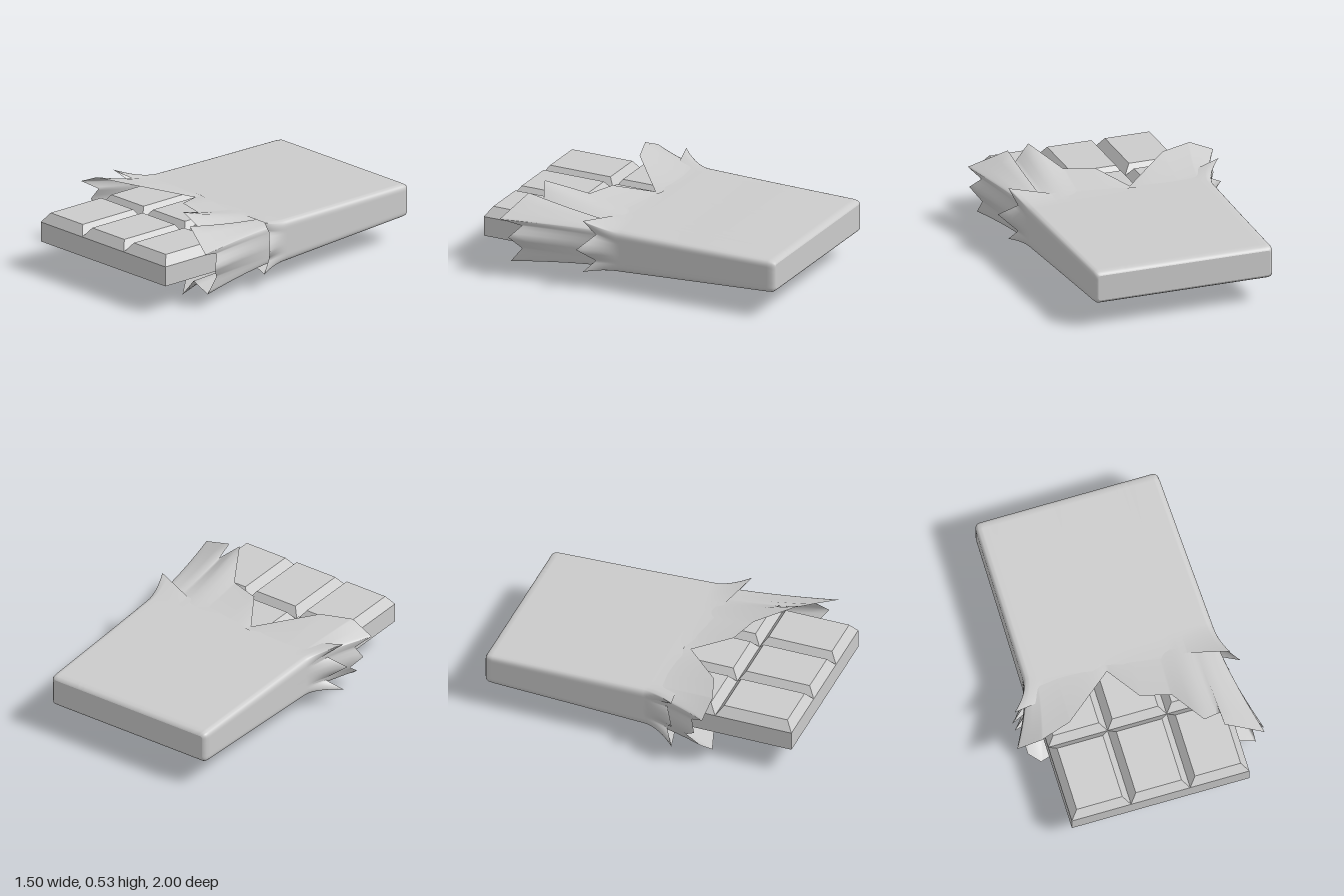
import * as THREE from 'three';

const solid = new THREE.MeshStandardMaterial({ color: 0xcccccc });
const sheet = new THREE.MeshStandardMaterial({ color: 0xcccccc, side: THREE.DoubleSide });

// Torn rims: [s, x, y, z]; s runs round the section, 0-1 top, 1-2 +x side, 2-3 bottom, 3-4 -x side
const foilRim = [
  [0, -0.75, 0.395, 0.49], [0.06, -0.6, 0.46, 0.5], [0.16, -0.4, 0.455, 0.435],
  [0.42, -0.08, 0.385, 0.16], [0.55, 0.06, 0.435, 0.385], [0.71, 0.25, 0.44, 0.44],
  [0.8, 0.385, 0.53, 0.68], [0.89, 0.5, 0.43, 0.63], [0.9, 0.5, 0.48, 0.73],
  [1, 0.73, 0.375, 0.81], [1.2, 0.69, 0.34, 0.68], [1.5, 0.745, 0.27, 0.745],
  [1.85, 0.685, 0.19, 0.68], [2, 0.69, 0.095, 0.755], [2.1, 0.5, 0.12, 0.7],
  [2.2, 0.385, 0, 0.685], [2.4, 0.13, 0.07, 0.4], [2.57, -0.08, 0.15, 0.18],
  [2.84, -0.4, 0.08, 0.435], [2.94, -0.6, 0.075, 0.5], [3, -0.67, 0.14, 0.45],
  [3.3, -0.68, 0.21, 0.36], [3.5, -0.73, 0.27, 0.43], [3.75, -0.69, 0.34, 0.4],
];
const wrapperRim = [
  [0, -0.7, 0.43, 0.27], [0.08, -0.53, 0.395, 0.235], [0.42, -0.09, 0.39, 0.115],
  [0.75, 0.32, 0.4, 0.235], [0.79, 0.37, 0.4, 0.19], [0.83, 0.42, 0.4, 0.19],
  [1, 0.67, 0.44, 0.27], [1.25, 0.635, 0.35, 0.2], [1.5, 0.735, 0.27, 0.285],
  [1.75, 0.635, 0.18, 0.2], [2, 0.67, 0.105, 0.27], [2.17, 0.42, 0.13, 0.19],
  [2.21, 0.37, 0.13, 0.19], [2.25, 0.32, 0.13, 0.235], [2.58, -0.09, 0.12, 0.115],
  [2.92, -0.53, 0.125, 0.235], [3, -0.7, 0.105, 0.27], [3.25, -0.6, 0.18, 0.2],
  [3.5, -0.72, 0.27, 0.28], [3.75, -0.6, 0.35, 0.2],
];

// Section positions: even steps, extra ones at the corners, and every rim point
function samples(rim) {
  const list = rim.map((p) => p[0]);
  for (let k = 0; k < 4; k++) {
    const n = k % 2 ? 10 : 30;
    for (let i = 0; i < n; i++) list.push(k + i / n);
    const c = k % 2 ? [0.03, 0.06, 0.15] : [0.006, 0.012, 0.025];
    for (const e of c) list.push(k + e, k + 1 - e);
  }
  return [...new Set(list.map((v) => +v.toFixed(4)))].sort((a, b) => a - b);
}

// Point on a rounded rectangle
function onSection(s, { x0, x1, y0, y1, z, r }) {
  const k = Math.floor(s) % 4, f = s - Math.floor(s);
  const u = [f, 1, 1 - f, 0][k], v = [1, 1 - f, 0, f][k];
  const x = x0 + (x1 - x0) * u, y = y0 + (y1 - y0) * v;
  const inner = new THREE.Vector3(
    THREE.MathUtils.clamp(x, x0 + r, x1 - r), THREE.MathUtils.clamp(y, y0 + r, y1 - r), z);
  const d = new THREE.Vector3(x, y, z).sub(inner);
  return inner.add(d.setLength(r));
}

function onRim(s, rim) {
  const i = rim.findLastIndex((p) => p[0] <= s);
  const a = rim[i], b = rim[(i + 1) % rim.length];
  const end = b[0] > a[0] ? b[0] : 4;
  return new THREE.Vector3(a[1], a[2], a[3])
    .lerp(new THREE.Vector3(b[1], b[2], b[3]), (s - a[0]) / (end - a[0]));
}

// Sleeve through the sections, then flaring out to the torn rim
function tornSleeve(sections, rim, power) {
  const S = samples(rim), n = S.length, pos = [], index = [];
  for (const sec of sections) for (const s of S) pos.push(...onSection(s, sec).toArray());
  const last = sections[sections.length - 1], steps = 8;
  for (let j = 1; j <= steps; j++) {
    const t = j / steps, w = Math.pow(t, power);
    for (const s of S) {
      const a = onSection(s, last), b = onRim(s, rim);
      pos.push(a.x + (b.x - a.x) * w, a.y + (b.y - a.y) * w, a.z + (b.z - a.z) * t);
    }
  }
  const rings = sections.length + steps;
  for (let j = 0; j < rings - 1; j++) for (let i = 0; i < n; i++) {
    const a = j * n + i, a1 = j * n + (i + 1) % n;
    index.push(a, a + n, a1, a1, a + n, a1 + n);
  }
  const g = new THREE.BufferGeometry();
  g.setAttribute('position', new THREE.Float32BufferAttribute(pos, 3));
  g.setIndex(index);
  g.computeVertexNormals();
  return g;
}

// One square of the bar: a box whose top is drawn in to form the bevels
function barSquare(w, h, d, bevel) {
  const g = new THREE.BoxGeometry(w, h, d), p = g.attributes.position;
  for (let i = 0; i < p.count; i++) if (p.getY(i) > 0) {
    p.setX(i, p.getX(i) - Math.sign(p.getX(i)) * bevel);
    p.setZ(i, p.getZ(i) - Math.sign(p.getZ(i)) * bevel);
  }
  g.computeVertexNormals();
  return g;
}

function createModel() {
  const model = new THREE.Group();
  const add = (name, geometry, material, x = 0, y = 0, z = 0) => {
    const m = new THREE.Mesh(geometry, material);
    m.name = name;
    m.position.set(x, y, z);
    model.add(m);
  };

  // Bar: slab with rows of bevelled squares
  const x0 = -0.555, pitchX = 0.377, pitchZ = 0.5;
  add('barSlab', new THREE.BoxGeometry(3 * pitchX, 0.125, 1.9), solid, x0 + 1.5 * pitchX, 0.2375, 0.05);
  const square = barSquare(pitchX, 0.06, pitchZ, 0.043);
  for (let row = 0; row < 3; row++) for (let col = 0; col < 3; col++)
    add('barSquare', square, solid, x0 + (col + 0.5) * pitchX, 0.33, 1 - (row + 0.5) * pitchZ);

  // Inner foil, torn open and flaring at the front
  add('foil', tornSleeve([
    { x0: -0.57, x1: 0.585, y0: 0.16, y1: 0.372, z: -0.5, r: 0.03 },
    { x0: -0.572, x1: 0.605, y0: 0.14, y1: 0.38, z: 0, r: 0.03 },
  ], foilRim, 1.5), sheet);

  // Outer wrapper with a softly bevelled closed back
  const back = { x0: -0.58, x1: 0.59, y0: 0.163, y1: 0.375 };
  const inset = (z, e, r) => ({
    x0: back.x0 + e, x1: back.x1 - e, y0: back.y0 + e, y1: back.y1 - e, z, r });
  add('wrapper', tornSleeve([
    inset(-1, 0.025, 0.015), inset(-0.995, 0.015, 0.02), inset(-0.98, 0.004, 0.03), inset(-0.95, 0, 0.035),
    { x0: -0.581, x1: 0.61, y0: 0.14, y1: 0.382, z: -0.4, r: 0.038 },
    { x0: -0.583, x1: 0.627, y0: 0.121, y1: 0.39, z: 0.04, r: 0.04 },
  ], wrapperRim, 1.7), sheet);
  const cap = new THREE.Shape(samples(wrapperRim).map((s) => {
    const p = onSection(s, inset(-1, 0.025, 0.015));
    return new THREE.Vector2(p.x, p.y);
  }));
  add('wrapperBack', new THREE.ShapeGeometry(cap), sheet, 0, 0, -1);
  return model;
}

export { createModel };
